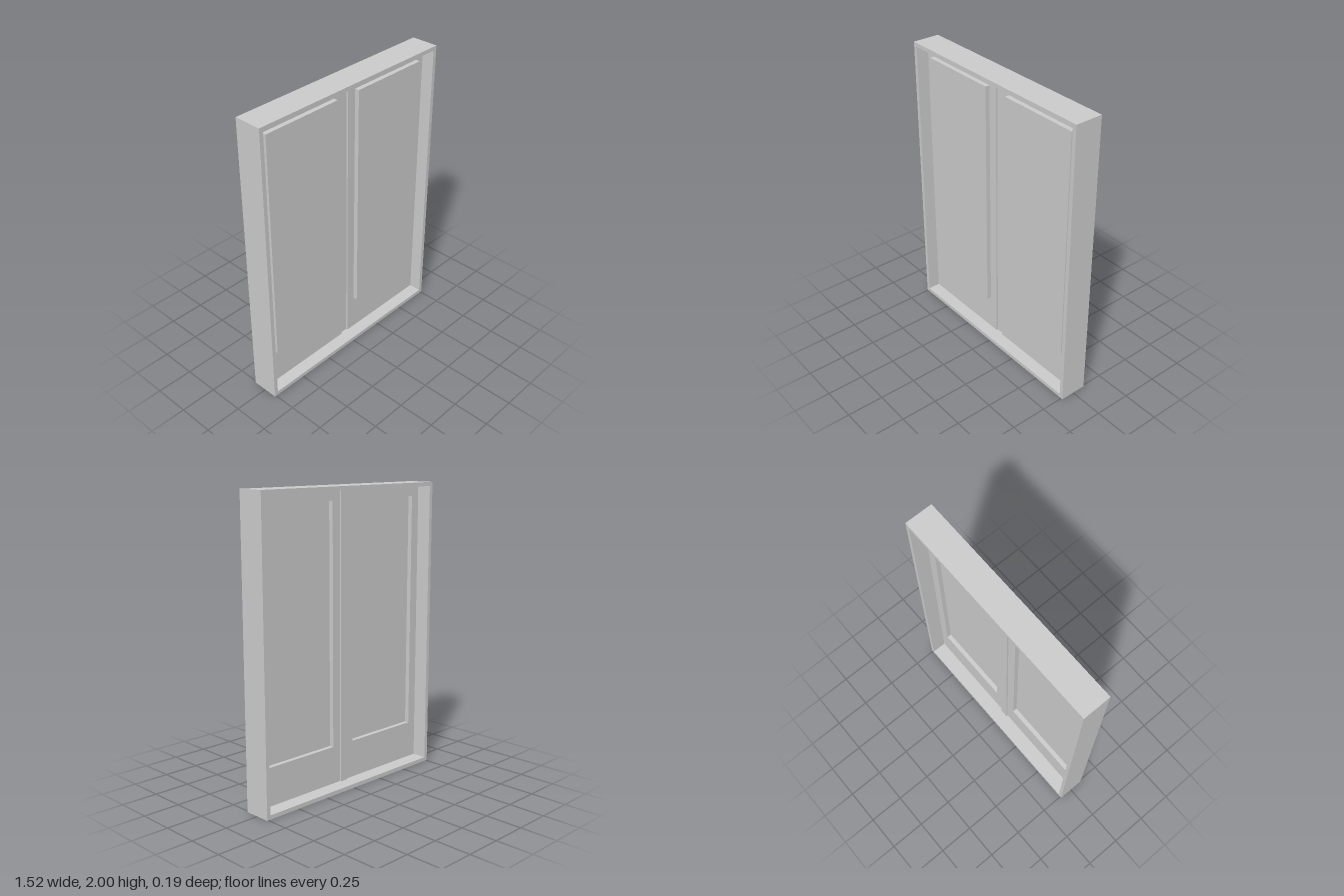
import * as THREE from 'three';

const material = new THREE.MeshStandardMaterial({ color: 0xcccccc, side: THREE.DoubleSide, flatShading: true });

// Rectangle outline, as a Shape or as a Path for holes
function rect(Type, x0, x1, y0, y1) {
  const r = new Type();
  r.moveTo(x0, y0);
  r.lineTo(x1, y0);
  r.lineTo(x1, y1);
  r.lineTo(x0, y1);
  r.closePath();
  return r;
}

function add(parent, name, geometry, x = 0, y = 0, z = 0) {
  const mesh = new THREE.Mesh(geometry, material);
  mesh.name = name;
  mesh.position.set(x, y, z);
  parent.add(mesh);
  return mesh;
}

// Thin wall facing sideways, between depths z0 and z1
function sideWall(parent, name, x, y0, y1, z0, z1, facing) {
  const geometry = new THREE.PlaneGeometry(z1 - z0, y1 - y0).rotateY(facing * Math.PI / 2);
  return add(parent, name, geometry, x, (y0 + y1) / 2, (z0 + z1) / 2);
}

// Thin wall facing up or down, between depths z0 and z1
function levelWall(parent, name, x0, x1, y, z0, z1, facing) {
  const geometry = new THREE.PlaneGeometry(x1 - x0, z1 - z0).rotateX(-facing * Math.PI / 2);
  return add(parent, name, geometry, (x0 + x1) / 2, y, (z0 + z1) / 2);
}

export function createModel() {
  const model = new THREE.Group();
  model.name = 'doubleDoor';

  const halfWidth = 0.76, height = 2, depth = 0.19;
  const inX = 0.733, inY0 = 0.028, inY1 = 1.973;
  const leafZ = 0.008, panelZ = 0.039, stripZ = -0.003;
  const stripX = 0.029;
  const px0 = 0.092, px1 = 0.668, py0 = 0.285, py1 = 1.905;

  // Surrounding frame
  const frame = rect(THREE.Shape, -halfWidth, halfWidth, 0, height);
  frame.holes.push(rect(THREE.Path, -inX, inX, inY0, inY1));
  add(model, 'frame', new THREE.ExtrudeGeometry(frame, { depth, bevelEnabled: false }), 0, 0, -depth / 2);

  // Two thin leaves, each pressed forward into a raised panel that is hollow behind
  for (const side of [-1, 1]) {
    const leaf = new THREE.Group();
    leaf.name = side > 0 ? 'leftLeaf' : 'rightLeaf';
    model.add(leaf);

    const [x0, x1] = [side * stripX, side * inX].sort((a, b) => a - b);
    const [a, b] = [side * px0, side * px1].sort((p, q) => p - q);

    const sheet = rect(THREE.Shape, x0, x1, inY0, inY1);
    sheet.holes.push(rect(THREE.Path, a, b, py0, py1));
    add(leaf, 'leafSheet', new THREE.ShapeGeometry(sheet), 0, 0, leafZ);

    add(leaf, 'panelFace', new THREE.ShapeGeometry(rect(THREE.Shape, a, b, py0, py1)), 0, 0, panelZ);
    sideWall(leaf, 'panelSide', a, py0, py1, leafZ, panelZ, -1);
    sideWall(leaf, 'panelSide', b, py0, py1, leafZ, panelZ, 1);
    levelWall(leaf, 'panelBottom', a, b, py0, leafZ, panelZ, -1);
    levelWall(leaf, 'panelTop', a, b, py1, leafZ, panelZ, 1);

    // Step back to the centre strip
    sideWall(leaf, 'stripEdge', side * stripX, inY0, inY1, stripZ, leafZ, -side);
  }

  // Centre strip, set slightly behind the leaves
  add(model, 'centreStrip', new THREE.ShapeGeometry(rect(THREE.Shape, -stripX, stripX, inY0, inY1)), 0, 0, stripZ);

  return model;
}
